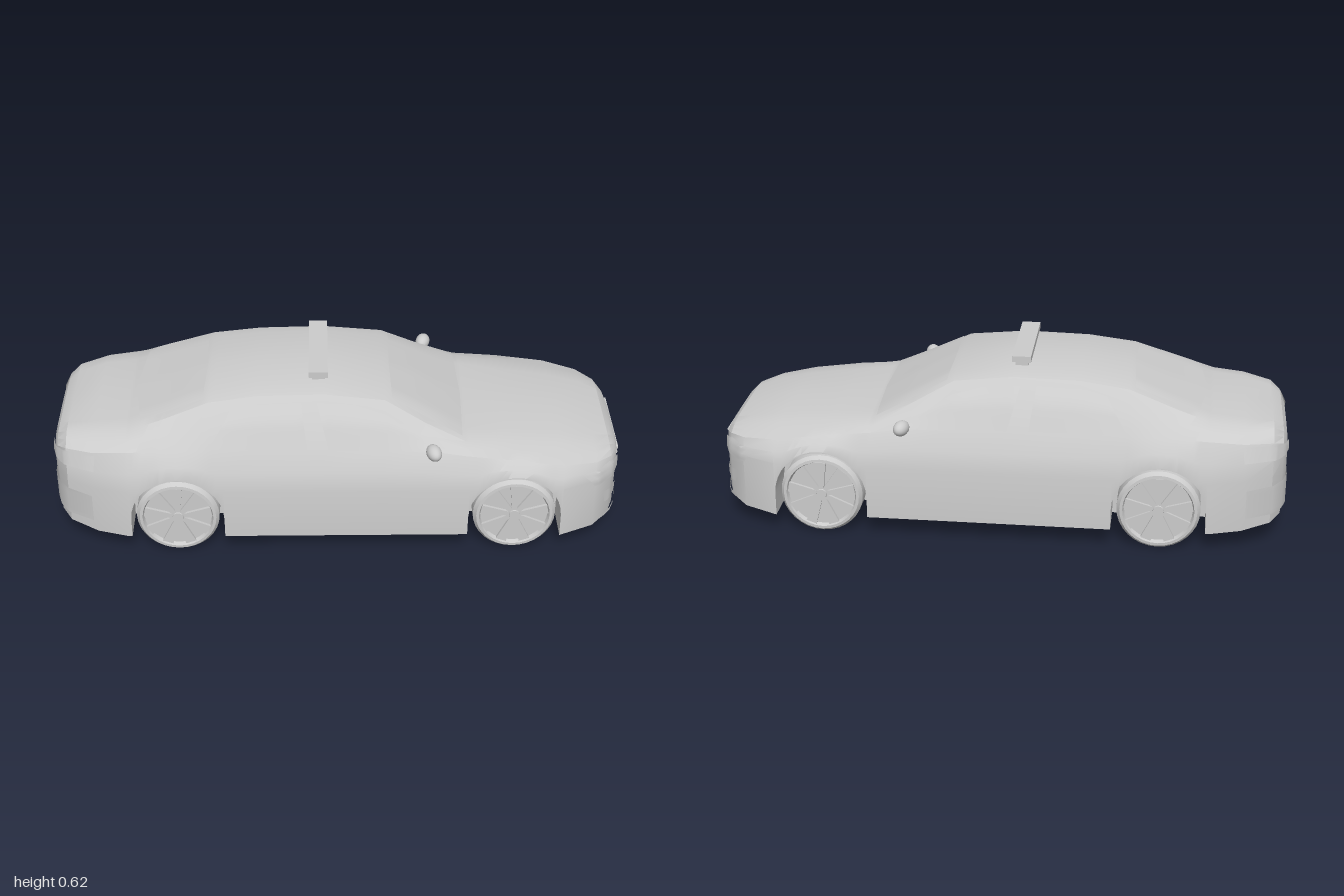
import * as THREE from 'three';
import { toCreasedNormals } from 'three/addons/utils/BufferGeometryUtils.js';

const grey = new THREE.MeshStandardMaterial({ color: 0xcccccc });
const thin = new THREE.MeshStandardMaterial({ color: 0xcccccc, side: THREE.DoubleSide });
const lerp = THREE.MathUtils.lerp;

// Body stations: x, half width, floor, belt half width, belt y, roof-edge half width, roof-edge y, top y
const STATIONS = [
  [-1.0, 0.2, 0.18, 0.19, 0.335, 0.15, 0.355, 0.36],
  [-0.985, 0.25, 0.1, 0.235, 0.36, 0.19, 0.385, 0.39],
  [-0.95, 0.3, 0.085, 0.275, 0.375, 0.22, 0.41, 0.415],
  [-0.85, 0.355, 0.075, 0.32, 0.385, 0.255, 0.425, 0.435],
  [-0.74, 0.382, 0.07, 0.335, 0.395, 0.26, 0.435, 0.447],
  [-0.62, 0.385, 0.07, 0.335, 0.4, 0.255, 0.475, 0.488],
  [-0.45, 0.385, 0.07, 0.335, 0.4, 0.235, 0.535, 0.553],
  [-0.28, 0.385, 0.07, 0.333, 0.4, 0.23, 0.557, 0.576],
  [-0.05, 0.385, 0.07, 0.333, 0.4, 0.23, 0.562, 0.581],
  [0.16, 0.385, 0.07, 0.333, 0.4, 0.235, 0.54, 0.558],
  [0.3, 0.385, 0.07, 0.333, 0.395, 0.265, 0.465, 0.487],
  [0.44, 0.385, 0.07, 0.34, 0.375, 0.285, 0.4, 0.41],
  [0.6, 0.385, 0.07, 0.345, 0.36, 0.26, 0.383, 0.396],
  [0.78, 0.38, 0.06, 0.345, 0.335, 0.25, 0.36, 0.375],
  [0.9, 0.33, 0.065, 0.305, 0.32, 0.23, 0.34, 0.35],
  [0.96, 0.27, 0.075, 0.25, 0.31, 0.2, 0.325, 0.333],
  [0.985, 0.21, 0.085, 0.2, 0.295, 0.17, 0.305, 0.31],
  [0.997, 0.15, 0.1, 0.145, 0.28, 0.12, 0.285, 0.29],
];
const WHEELS = [-0.565, 0.615], AXLE = 0.145, ARCH = 0.163;

// Half cross-section [z, y] from floor centre, round the wheel arch, up to the roof centre
function section(x) {
  let i = 0;
  while (i < STATIONS.length - 2 && x > STATIONS[i + 1][0]) i++;
  const p = STATIONS[i], q = STATIONS[i + 1], t = THREE.MathUtils.clamp((x - p[0]) / (q[0] - p[0]), 0, 1);
  const [, w, b, wB, yB, wR, yR, top] = p.map((v, k) => lerp(v, q[k], t));
  let a = b;
  for (const c of WHEELS) {
    const d = Math.abs(x - c);
    if (d <= ARCH + 1e-6) a = AXLE + Math.sqrt(Math.max(0, ARCH * ARCH - d * d));
  }
  const inner = Math.min(0.25, w * 0.7);
  const y4 = Math.max(Math.min(0.26, yB - 0.04), a + 0.004);
  const bulge = 0.15 * (yR - yB);
  return [[0, b], [inner, b], [inner, a], [w, a], [w, y4], [lerp(w, wB, 0.3), lerp(y4, yB, 0.5)],
    [wB, yB], [lerp(wB, wR, 0.55) + bulge * 0.6, lerp(yB, yR, 0.55)], [wR, yR],
    [wR * 0.75, lerp(yR, top, 0.75)], [0, top]];
}

// Surface lookups used to lay glass and lamps on the body
function sideZ(x, y) {
  const s = section(x);
  if (y <= s[3][1]) return s[3][0];
  for (let i = 3; i < 10; i++)
    if (y <= s[i + 1][1]) return lerp(s[i][0], s[i + 1][0], (y - s[i][1]) / (s[i + 1][1] - s[i][1]));
  return 0;
}
function topY(x, z) {
  const s = section(x), d = Math.abs(z);
  for (let i = 10; i > 5; i--)
    if (d <= s[i - 1][0]) return lerp(s[i][1], s[i - 1][1], (d - s[i][0]) / (s[i - 1][0] - s[i][0]));
  return s[5][1];
}
function endX(z, y, dir) {
  let lo = 0.72, hi = dir > 0 ? 0.997 : 1;
  if (sideZ(dir * hi, y) >= Math.abs(z)) return dir * hi;
  for (let i = 0; i < 24; i++) {
    const m = (lo + hi) / 2;
    if (sideZ(dir * m, y) >= Math.abs(z)) lo = m; else hi = m;
  }
  return dir * lo;
}

function geometry(points, index, crease) {
  const g = new THREE.BufferGeometry();
  g.setAttribute('position', new THREE.Float32BufferAttribute(points, 3));
  g.setIndex(index);
  return toCreasedNormals(g, crease);
}

// Lofted shell with wheel wells
function bodyGeometry() {
  const xs = STATIONS.map((s) => s[0]);
  for (const c of WHEELS) {
    for (let k = 0; k <= 16; k++) xs.push(c - ARCH * Math.cos((k / 16) * Math.PI));
    xs.push(c - ARCH - 0.0005, c + ARCH + 0.0005);
  }
  xs.sort((a, b) => a - b);
  const pts = [], idx = [], n = 20, last = (xs.length - 1) * n;
  for (const x of xs) {
    const s = section(x);
    for (const [z, y] of s) pts.push(x, y, z);
    for (let k = 9; k > 0; k--) pts.push(x, s[k][1], -s[k][0]);
  }
  for (let i = 0; i < xs.length - 1; i++)
    for (let j = 0; j < n; j++) {
      const a = i * n + j, b = i * n + ((j + 1) % n);
      idx.push(a, a + n, b + n, a, b + n, b);
    }
  for (let j = 1; j < n - 1; j++) idx.push(0, j, j + 1, last, last + j + 1, last + j);
  return geometry(pts, idx, 0.45);
}

// Panel spanned between two guide polylines and projected on the body
function patch(lower, upper, project, cols = 14, rows = 6) {
  const at = (line, t) => {
    const f = t * (line.length - 1), i = Math.min(Math.floor(f), line.length - 2);
    return [0, 1].map((k) => lerp(line[i][k], line[i + 1][k], f - i));
  };
  const pts = [], idx = [];
  for (let r = 0; r <= rows; r++)
    for (let c = 0; c <= cols; c++) {
      const p = at(lower, c / cols), q = at(upper, c / cols);
      pts.push(...project(lerp(p[0], q[0], r / rows), lerp(p[1], q[1], r / rows)));
      if (r < rows && c < cols) {
        const a = r * (cols + 1) + c, b = a + cols + 1;
        idx.push(a, a + 1, b + 1, a, b + 1, b);
      }
    }
  return geometry(pts, idx, 0.5);
}
const onSide = (s) => (x, y) => [x, y + 0.001, s * (sideZ(x, y) + 0.004)];
const onTop = (x, z) => [x, topY(x, z) + 0.004, z];
const onEnd = (dir, off = 0.004) => (z, y) => [endX(z, y, dir) + dir * off, y, z * (1 + off * 2)];

function wheel() {
  const g = new THREE.Group();
  const part = (name, geo) => {
    const m = new THREE.Mesh(geo, grey);
    m.name = name;
    g.add(m);
    return m;
  };
  // Tyre with chamfered shoulders and a recessed rim dish, axis along z
  const profile = [[0, -0.05], [0.12, -0.05], [0.134, -0.05], [0.145, -0.038], [0.145, 0.038], [0.134, 0.052],
    [0.124, 0.053], [0.118, 0.038], [0, 0.038]].map(([r, y]) => new THREE.Vector2(r, y));
  part('tyre', toCreasedNormals(new THREE.LatheGeometry(profile, 32).rotateX(Math.PI / 2), 0.5));
  part('hub', new THREE.CylinderGeometry(0.018, 0.022, 0.014, 16).rotateX(Math.PI / 2)).position.z = 0.045;
  // Tapered spokes
  const spoke = new THREE.Shape([[-0.007, 0.01], [0.007, 0.01], [0.019, 0.119], [-0.019, 0.119]]
    .map(([x, y]) => new THREE.Vector2(x, y)));
  const spokeGeo = new THREE.ExtrudeGeometry(spoke, { depth: 0.012, bevelEnabled: false });
  for (let i = 0; i < 9; i++) {
    const m = part('spoke', spokeGeo);
    m.position.z = 0.036;
    m.rotation.z = (i / 9) * Math.PI * 2;
  }
  return g;
}

export function createModel() {
  const car = new THREE.Group();
  car.name = 'sedan';
  const add = (name, geo, pos = [0, 0, 0], mat = grey) => {
    const m = new THREE.Mesh(geo, mat);
    m.name = name;
    m.position.set(...pos);
    car.add(m);
    return m;
  };
  const panel = (name, lower, upper, project) => add(name, patch(lower, upper, project), [0, 0, 0], thin);
  const box = (name, size, pos) => add(name, new THREE.BoxGeometry(...size), pos);

  add('body', bodyGeometry());
  panel('windscreen', [[0.43, -0.265], [0.44, 0], [0.43, 0.265]], [[0.185, -0.215], [0.18, 0], [0.185, 0.215]], onTop);
  panel('rearWindow', [[-0.69, -0.23], [-0.72, 0], [-0.69, 0.23]], [[-0.47, -0.215], [-0.46, 0], [-0.47, 0.215]], onTop);

  for (const s of [1, -1]) {
    const flip = (pts) => pts.map(([z, y]) => [s * z, y]);
    panel('frontSideWindow', [[-0.035, 0.4], [0.08, 0.398], [0.2, 0.395], [0.33, 0.392]],
      [[-0.075, 0.54], [0.05, 0.532], [0.17, 0.5], [0.32, 0.4]], onSide(s));
    panel('rearSideWindow', [[-0.45, 0.405], [-0.28, 0.403], [-0.11, 0.402]],
      [[-0.375, 0.515], [-0.3, 0.533], [-0.13, 0.54]], onSide(s));
    panel('headlight', flip([[0.168, 0.243], [0.26, 0.24], [0.335, 0.24]]),
      flip([[0.205, 0.285], [0.27, 0.303], [0.345, 0.295]]), onEnd(1, 0.006));
    panel('fogLight', flip([[0.19, 0.142], [0.24, 0.14], [0.29, 0.14]]),
      flip([[0.185, 0.17], [0.24, 0.182], [0.3, 0.19]]), onEnd(1));
    panel('tailLight', flip([[0.17, 0.325], [0.27, 0.318], [0.345, 0.325]]),
      flip([[0.17, 0.35], [0.255, 0.365], [0.325, 0.378]]), onEnd(-1, 0.006));
    // Door mirror on a short arm
    const mirror = add('mirror', new THREE.SphereGeometry(1, 20, 12), [0.325, 0.41, s * 0.368]);
    mirror.scale.set(0.026, 0.026, 0.038);
    mirror.rotation.y = s * 0.25;
    box('mirrorArm', [0.02, 0.012, 0.05], [0.325, 0.394, s * 0.335]);
    for (const x of WHEELS) {
      const w = wheel();
      w.name = x > 0 ? 'frontWheel' : 'rearWheel';
      w.position.set(x, AXLE, s * 0.322);
      if (s < 0) w.rotation.y = Math.PI;
      car.add(w);
    }
  }

  // Grille slats, lower intake frame and lip
  for (let i = 0; i < 5; i++) box('grilleSlat', [0.016, 0.008, 0.32 - i * 0.012], [0.992, 0.282 - i * 0.024, 0]);
  for (const y of [0.134, 0.172]) box('intakeRail', [0.014, 0.006, 0.294], [0.992, y, 0]);
  for (const z of [-0.144, 0.144]) box('intakeEnd', [0.014, 0.04, 0.006], [0.992, 0.153, z]);
  panel('frontLip', [[-0.3, 0.078], [0, 0.08], [0.3, 0.078]], [[-0.3, 0.09], [0, 0.096], [0.3, 0.09]], onEnd(1, 0.006));
  panel('rearBumper', [[-0.35, 0.12], [0, 0.12], [0.35, 0.12]], [[-0.35, 0.225], [0, 0.24], [0.35, 0.225]], onEnd(-1));

  // Roof light bar
  box('lightBarFoot', [0.045, 0.026, 0.31], [-0.07, 0.584, 0]);
  box('lightBar', [0.066, 0.022, 0.352], [-0.07, 0.606, 0]);
  return car;
}
